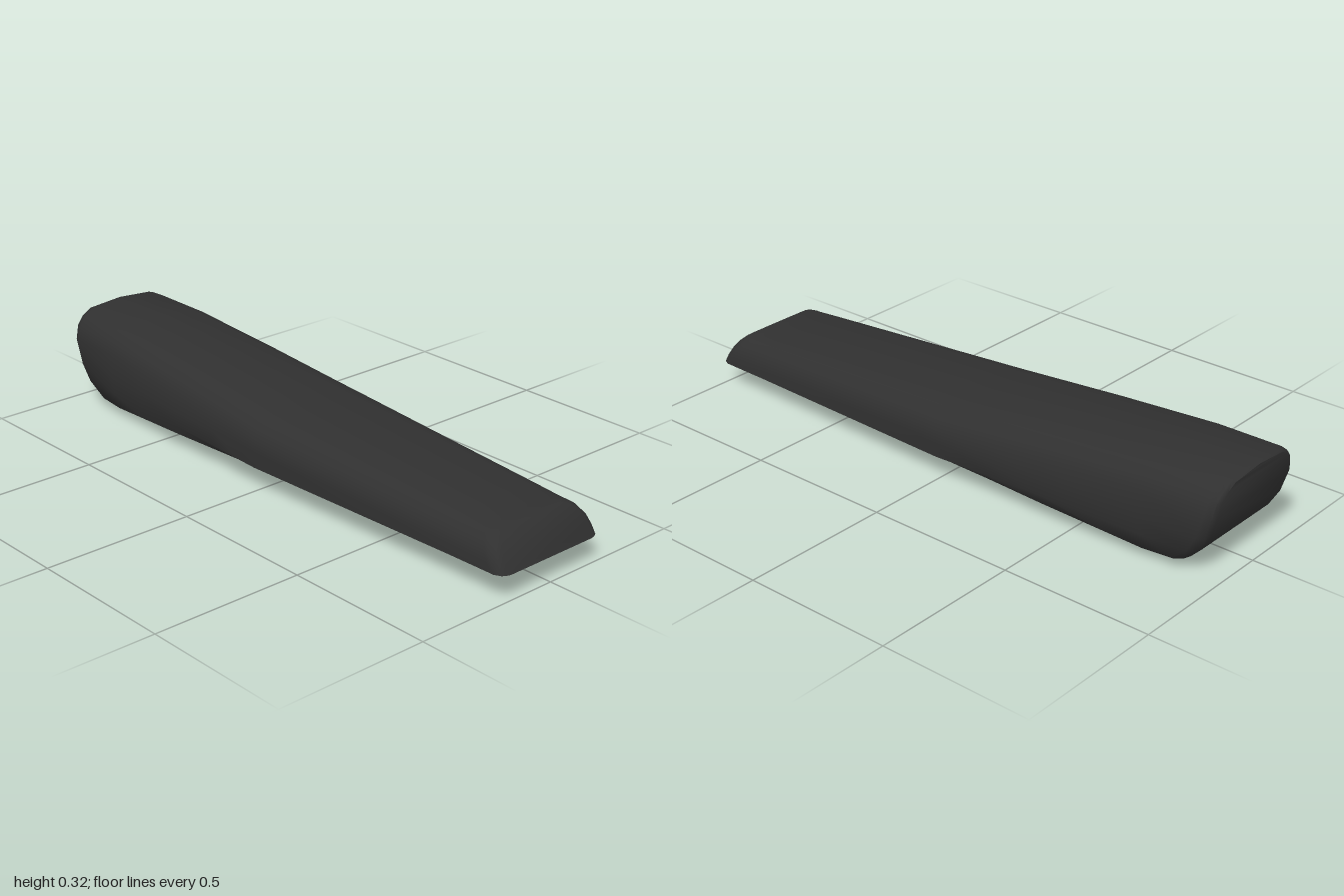
import * as THREE from 'three';
import { toCreasedNormals } from 'three/addons/utils/BufferGeometryUtils.js';

// Half cross-sections [z, y] from bottom centre to top centre
const sections = [
  { x: -0.96, pts: [[0, 0], [0.11, 0], [0.155, 0.014], [0.19, 0.033], [0.205, 0.085], [0.21, 0.14], [0.209, 0.215], [0.193, 0.262], [0.165, 0.291], [0.13, 0.309], [0, 0.319]] },
  { x: -0.75, pts: [[0, 0.004], [0.12, 0.003], [0.16, 0.016], [0.195, 0.032], [0.211, 0.085], [0.216, 0.14], [0.213, 0.225], [0.194, 0.262], [0.165, 0.289], [0.13, 0.304], [0, 0.313]] },
  { x: -0.4, pts: [[0, 0.041], [0.12, 0.041], [0.175, 0.045], [0.217, 0.057], [0.228, 0.09], [0.23, 0.14], [0.224, 0.203], [0.203, 0.238], [0.17, 0.263], [0.13, 0.277], [0, 0.286]] },
  { x: 0, pts: [[0, 0.077], [0.12, 0.077], [0.185, 0.077], [0.222, 0.077], [0.237, 0.081], [0.237, 0.13], [0.235, 0.172], [0.213, 0.203], [0.175, 0.228], [0.13, 0.241], [0, 0.247]] },
  { x: 0.9, pts: [[0, 0.08], [0.12, 0.08], [0.165, 0.08], [0.19, 0.08], [0.204, 0.082], [0.201, 0.11], [0.193, 0.138], [0.177, 0.16], [0.156, 0.175], [0.13, 0.183], [0, 0.187]] },
];
// End profiles [y, x]
const leftEnd = [[0, -0.8], [0.01, -0.84], [0.035, -0.885], [0.085, -0.935], [0.14, -0.967], [0.2, -0.987], [0.3, -1], [0.32, -1]];
const rightEnd = [[0.08, 1], [0.11, 0.985], [0.14, 0.967], [0.17, 0.943], [0.187, 0.918]];
const recessDepth = 0.045;

function along(table, t) {
  if (t <= table[0][0]) return table[0][1];
  for (let i = 1; i < table.length; i++) {
    const [a, va] = table[i - 1], [b, vb] = table[i];
    if (t <= b) return va + (vb - va) * (t - a) / (b - a);
  }
  return table[table.length - 1][1];
}

function sectionAt(x) {
  let k = 1;
  while (k < sections.length - 1 && x > sections[k].x) k++;
  const a = sections[k - 1], b = sections[k];
  const t = THREE.MathUtils.clamp((x - a.x) / (b.x - a.x), 0, 1);
  return a.pts.map((p, i) => p.map((v, c) => v + (b.pts[i][c] - v) * t));
}

// Closed ring; xOf and zScale depend on height, recess lifts the flat bottom
function ring(x, { xOf = () => x, zScale = () => 1, yScale = 1, recess = 0 } = {}) {
  const half = sectionAt(x).map(([z, y], i) => [z * zScale(y), 0.16 + (y - 0.16) * yScale + (i < 3 ? recess : 0)]);
  const mirrored = half.slice(1, -1).reverse().map(([z, y]) => [-z, y]);
  return [...half, ...mirrored].map(([z, y]) => [xOf(y), y, z]);
}

function buildBody() {
  const left = (d) => (y) => along(leftEnd, y) + d;
  const right = (d) => (y) => along(rightEnd, y) - d;
  // Corners of the thick end round off more towards the bottom
  const taper = (amount) => (y) => 1 - amount * (1 - 2.1 * y);
  const rings = [
    ring(-0.96, { xOf: left(0), zScale: (y) => taper(0.18)(y) - 0.04, yScale: 0.96 }),
    ring(-0.96, { xOf: left(0.008), zScale: taper(0.12), yScale: 0.985 }),
    ring(-0.96, { xOf: left(0.03), zScale: taper(0.03) }),
  ];
  for (const x of [-0.75, -0.6, -0.4, -0.2, -0.06, 0, 0.055]) rings.push(ring(x));
  // Recess under the thin half
  for (const x of [0.085, 0.2, 0.4, 0.6, 0.8]) rings.push(ring(x, { recess: recessDepth }));
  rings.push(
    ring(0.9, { xOf: right(0.045), recess: recessDepth }),
    ring(0.9, { xOf: right(0.03) }),
    ring(0.9, { xOf: right(0.008), zScale: () => 0.95 }),
    ring(0.9, { xOf: right(0), zScale: () => 0.88 }),
  );

  const n = rings[0].length, last = (rings.length - 1) * n, index = [];
  for (let i = 0; i < rings.length - 1; i++) {
    for (let j = 0; j < n; j++) {
      const a = i * n + j, c = i * n + (j + 1) % n, b = a + n, d = c + n;
      index.push(a, b, c, c, b, d);
    }
  }
  // End caps: strips joining mirrored points
  for (let j = 0; j < n / 2; j++) {
    const k = (n - j) % n, m = n - j - 1;
    if (j + 1 !== m) {
      index.push(j, j + 1, m);
      index.push(last + j, last + m, last + j + 1);
    }
    if (k !== j) {
      index.push(j, m, k);
      index.push(last + j, last + k, last + m);
    }
  }
  const geo = new THREE.BufferGeometry();
  geo.setAttribute('position', new THREE.Float32BufferAttribute(rings.flat(2), 3));
  geo.setIndex(index);
  return toCreasedNormals(geo, 0.9);
}

export function createModel() {
  const group = new THREE.Group();
  group.name = 'handle';
  const darkGrey = new THREE.MeshStandardMaterial({ color: 0x303030 });
  darkGrey.name = 'dark grey';
  const body = new THREE.Mesh(buildBody(), darkGrey);
  body.name = 'handleBody';
  group.add(body);
  return group;
}
